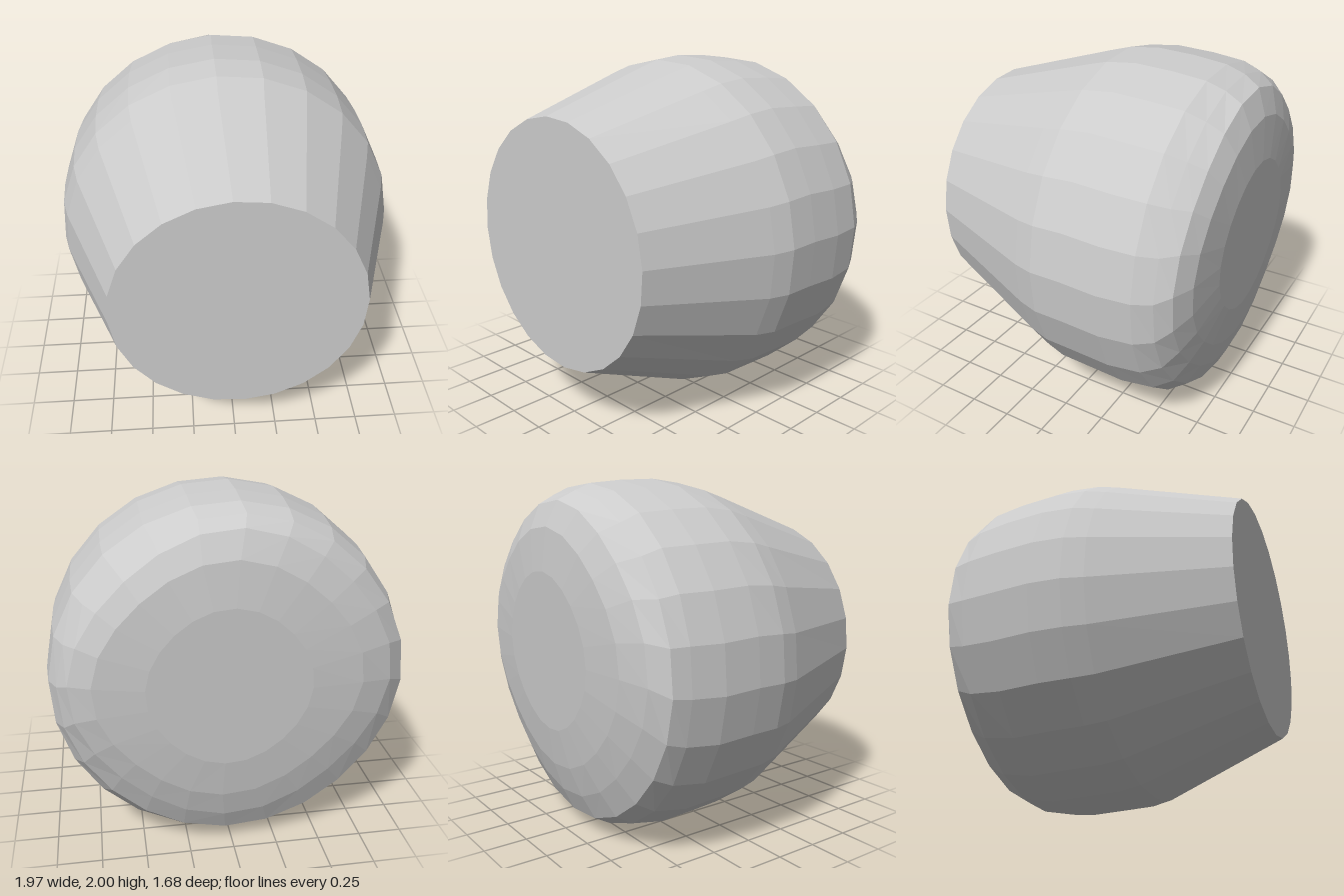
import * as THREE from 'three';

const SIDES = 24;
const START = THREE.MathUtils.degToRad(3);

// Cross-sections from front to back:
// [z, left edge x, right edge x, bottom y, top y, backward lean per unit height, diagonal flattening]
const RINGS = [
  [0.84, -0.68, 0.70, 0.33, 1.73, 0, 0],
  [0.14, -0.95, 0.945, 0.045, 1.945, 0, 0],
  [0.02, -0.98, 0.98, 0.02, 1.98, 0, 0],
  [-0.16, -0.99, 0.985, 0.01, 2.0, 0, 0],
  [-0.38, -0.99, 0.985, 0.0, 1.99, 0, 0],
  [-0.57, -0.965, 0.97, 0.035, 1.97, 0, 0],
  [-0.67, -0.945, 0.925, 0.09, 1.93, 0, 0.02],
  [-0.745, -0.85, 0.87, 0.22, 1.88, 0.02, 0.05],
  [-0.795, -0.68, 0.75, 0.38, 1.74, 0.035, 0.05],
  [-0.82, -0.4, 0.48, 0.6, 1.5, 0.04, 0.03],
];

// One closed loop of points around the z axis
function ringPoints([z, x0, x1, y0, y1, lean, flat]) {
  return Array.from({ length: SIDES }, (_, i) => {
    const a = START + (i / SIDES) * Math.PI * 2;
    const k = 1 - flat * Math.sin(2 * a) ** 2;
    const x = (x0 + x1) / 2 + ((x1 - x0) / 2) * k * Math.cos(a);
    const y = (y0 + y1) / 2 + ((y1 - y0) / 2) * k * Math.sin(a);
    return [x, y, z - lean * (y - 1)];
  });
}

// Skin neighbouring loops and close both ends with a fan
function loft(rings) {
  const loops = rings.map(ringPoints);
  const positions = loops.flat(2);
  const index = [];
  const last = loops.length - 1;
  for (let r = 0; r < last; r++) {
    for (let i = 0; i < SIDES; i++) {
      const j = (i + 1) % SIDES;
      const a = r * SIDES + i, b = r * SIDES + j;
      const c = a + SIDES, d = b + SIDES;
      index.push(a, c, b, b, c, d);
    }
  }
  for (let i = 1; i < SIDES - 1; i++) {
    index.push(0, i, i + 1);
    const e = last * SIDES;
    index.push(e, e + i + 1, e + i);
  }
  const geometry = new THREE.BufferGeometry();
  geometry.setAttribute('position', new THREE.Float32BufferAttribute(positions, 3));
  geometry.setIndex(index);
  const faceted = geometry.toNonIndexed();
  faceted.computeVertexNormals();
  return faceted;
}

export function createModel() {
  const model = new THREE.Group();
  model.name = 'roundedStub';

  // Bulging body with a flat tapered front and a slightly leaning back
  const material = new THREE.MeshStandardMaterial({ color: 0xcccccc, flatShading: true });
  const body = new THREE.Mesh(loft(RINGS), material);
  body.name = 'body';
  model.add(body);

  return model;
}
